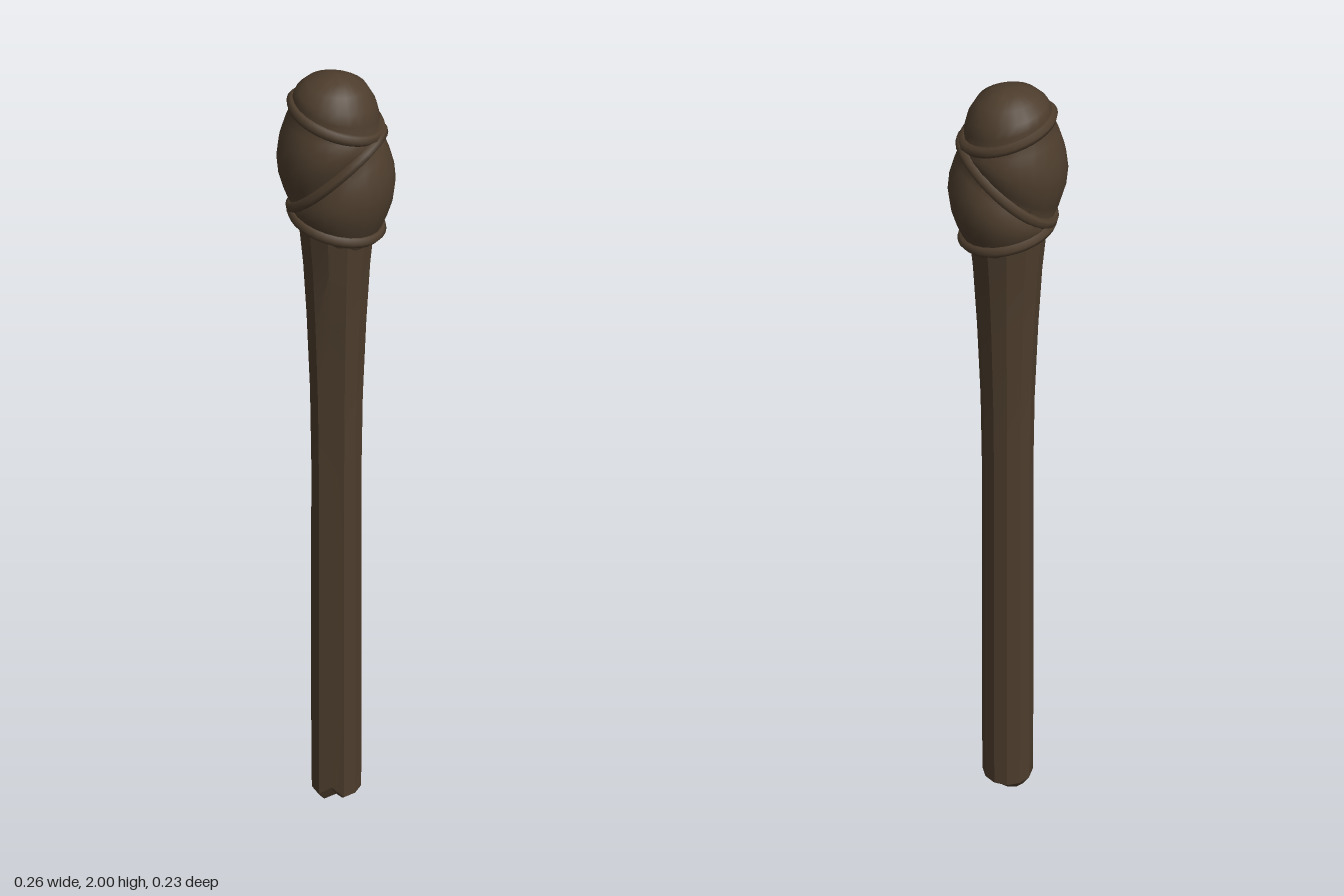
import * as THREE from 'three';
import { toCreasedNormals } from 'three/addons/utils/BufferGeometryUtils.js';

const darkWood = new THREE.MeshStandardMaterial({ color: 0x4d3d2d });
darkWood.name = 'darkWood';

// Skin a stack of closed rings (bottom to top), closing both ends with a centre point.
function loft(rings, bottomY, topY, crease) {
  const n = rings[0].length, m = rings.length, pos = [], index = [];
  rings.forEach(ring => ring.forEach(p => pos.push(...p)));
  pos.push(0, bottomY, 0, 0, topY, 0);
  for (let j = 0; j < n; j++) {
    const k = (j + 1) % n, last = (m - 1) * n;
    for (let i = 0; i < m - 1; i++) {
      const a = i * n + j, b = i * n + k;
      index.push(a, b, b + n, a, b + n, a + n);
    }
    index.push(m * n, k, j, m * n + 1, last + j, last + k);
  }
  const g = new THREE.BufferGeometry();
  g.setAttribute('position', new THREE.Float32BufferAttribute(pos, 3));
  g.setIndex(index);
  return toCreasedNormals(g, crease);
}

function ring(n, at) {
  return Array.from({ length: n }, (_, j) => {
    const a = (j / n) * Math.PI * 2, [r, y] = at(a, j);
    return [r * Math.sin(a), y, r * Math.cos(a)];
  });
}

// Binding lines around the head: each is a tilted loop [radius, middle height, tilt].
const bindings = {
  lower: [0.096, 1.655, -0.024],
  diagonal: [0.098, 1.776, 0.094],
  upper: [0.093, 1.905, -0.032],
};
const heightAt = ([, y, tilt], a) => y + tilt * Math.sin(a);

function makeShaft() {
  // [radius, height]; the front corner is pulled in to form a long split
  const profile = [[0.045, 0.006], [0.064, 0.04], [0.064, 0.3], [0.06, 1.0],
    [0.062, 1.2], [0.069, 1.4], [0.077, 1.55], [0.088, 1.67]];
  const rings = profile.map(([r, y], i) => ring(12, (a, j) => {
    const split = j === 0 && i < 6;
    const lift = i === 0 ? 0.012 + 0.012 * Math.sin(a) : 0;
    return [split ? r * 0.86 : r, y + lift + (split && i < 2 ? 0.025 : 0)];
  }));
  return loft(rings, 0.0, 1.67, 0.5);
}

function makeHead() {
  const n = 24, rings = [], { lower, diagonal, upper } = bindings;
  // Tuck under the lower binding
  rings.push(ring(n, a => [0.08, heightAt(lower, a) - 0.03]));
  // Two padded wedges that swell between neighbouring bindings
  for (const [from, to] of [[lower, diagonal], [diagonal, upper]]) {
    for (let s = 0; s < 6; s++) {
      const t = s / 6;
      rings.push(ring(n, a => {
        const y0 = heightAt(from, a), h = Math.max(0.004, heightAt(to, a) - y0);
        const swell = 0.14 * h * Math.sin(Math.PI * t);
        return [THREE.MathUtils.lerp(from[0], to[0], t) + swell, y0 + h * t];
      }));
    }
  }
  // Rounded cap
  for (const [r, t] of [[0.093, 0], [0.094, 0.25], [0.086, 0.5], [0.066, 0.78], [0.035, 0.95]]) {
    rings.push(ring(n, a => [r, THREE.MathUtils.lerp(heightAt(upper, a), 1.998, t)]));
  }
  return loft(rings, 1.63, 2.0, 0.9);
}

function makeCord(binding) {
  const points = ring(16, a => [binding[0] + 0.002, heightAt(binding, a)]);
  const curve = new THREE.CatmullRomCurve3(points.map(p => new THREE.Vector3(...p)), true);
  return new THREE.TubeGeometry(curve, 32, 0.013, 6, true);
}

export function createModel() {
  const model = new THREE.Group();
  model.name = 'torch';
  const add = (name, geometry) => {
    const mesh = new THREE.Mesh(geometry, darkWood);
    mesh.name = name;
    model.add(mesh);
  };
  add('shaft', makeShaft());
  add('wrappedHead', makeHead());
  for (const [name, binding] of Object.entries(bindings)) add(name + 'Cord', makeCord(binding));
  return model;
}
